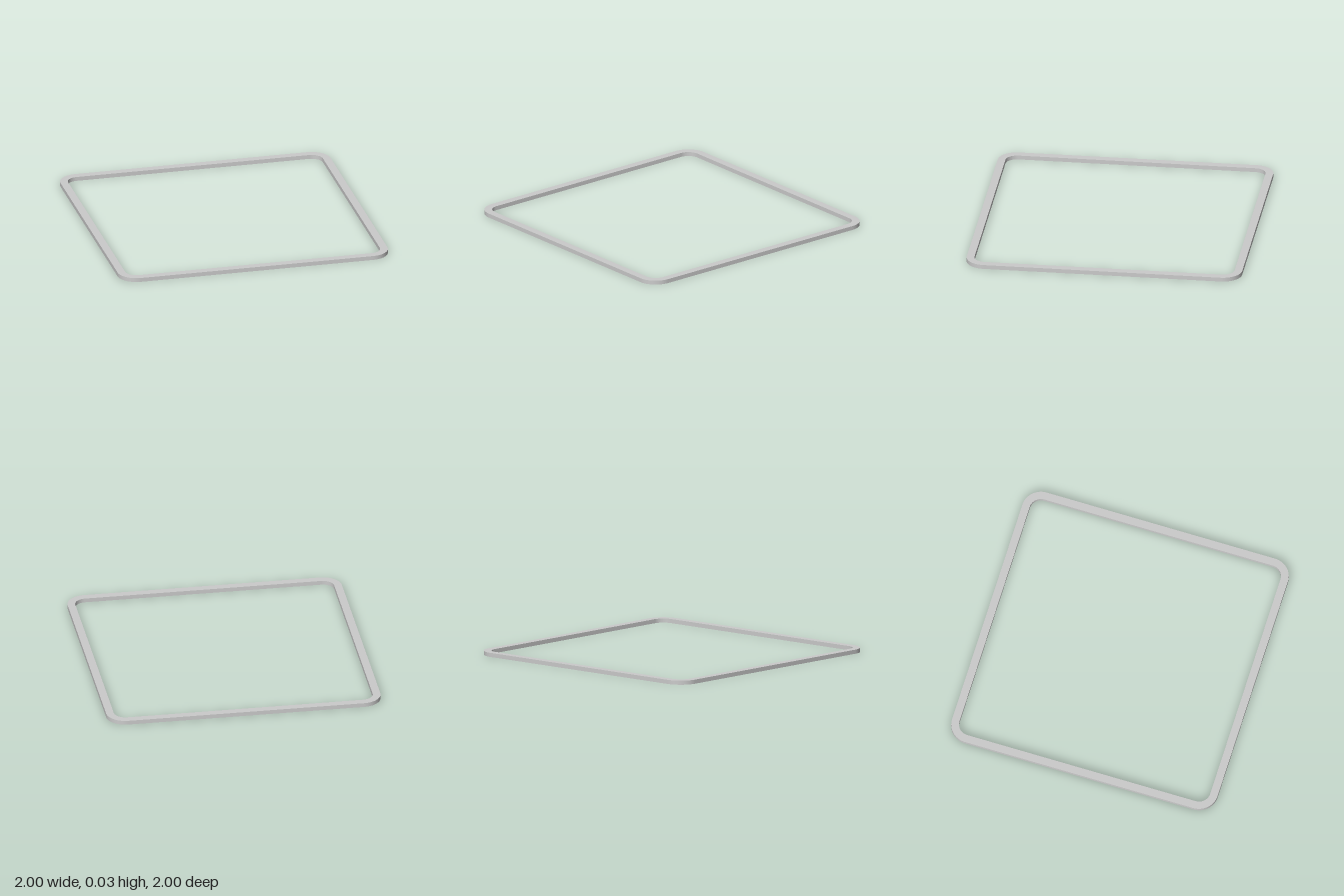
import * as THREE from 'three';
import { toCreasedNormals } from 'three/addons/utils/BufferGeometryUtils.js';

// Square outline with rounded corners, centred on the origin
function roundedSquare(path, half, radius) {
  const c = half - radius;
  path.moveTo(half, -c);
  path.absarc(c, c, radius, 0, Math.PI / 2);
  path.absarc(-c, c, radius, Math.PI / 2, Math.PI);
  path.absarc(-c, -c, radius, Math.PI, Math.PI * 1.5);
  path.absarc(c, -c, radius, Math.PI * 1.5, Math.PI * 2);
  path.closePath();
  return path;
}

export function createModel() {
  const group = new THREE.Group();
  group.name = 'squareFrame';

  const barWidth = 0.056, height = 0.03, cornerRadius = 0.14;

  // Flat bar running around the square, with concentric corners
  const outline = roundedSquare(new THREE.Shape(), 1, cornerRadius);
  outline.holes.push(roundedSquare(new THREE.Path(), 1 - barWidth, cornerRadius - barWidth));

  const geometry = new THREE.ExtrudeGeometry(outline, {
    depth: height, bevelEnabled: false, curveSegments: 16,
  });
  geometry.rotateX(-Math.PI / 2);

  const frame = new THREE.Mesh(
    toCreasedNormals(geometry, Math.PI / 6),
    new THREE.MeshStandardMaterial({ color: 0xcccccc }),
  );
  frame.name = 'frame';
  group.add(frame);
  return group;
}
